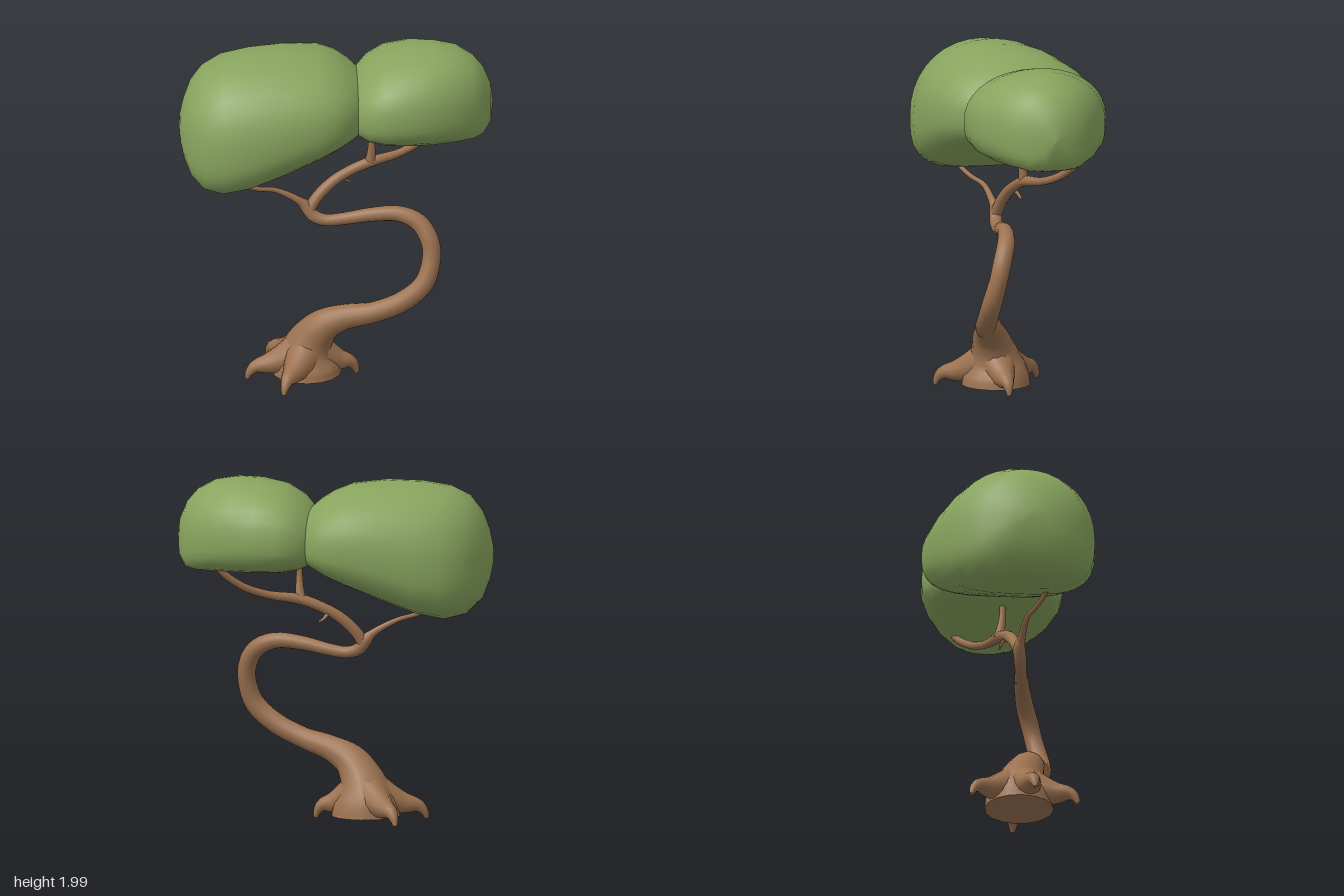
import * as THREE from 'three';

const bark = new THREE.MeshStandardMaterial({ color: 0x9c7250 });
bark.name = 'bark brown';
const leaf = new THREE.MeshStandardMaterial({ color: 0x88a45e });
leaf.name = 'leaf green';

// Skin a list of rings (each an array of n Vector3) into a smooth surface.
function skin(rings) {
  const n = rings[0].length, index = [];
  for (let i = 0; i < rings.length - 1; i++) {
    for (let j = 0; j < n; j++) {
      const k = (j + 1) % n;
      const a = i * n + j, b = i * n + k, c = a + n, d = b + n;
      index.push(a, b, c, b, d, c);
    }
  }
  const geo = new THREE.BufferGeometry().setFromPoints(rings.flat());
  geo.setIndex(index);
  geo.computeVertexNormals();
  return geo;
}

// Tapering limb through stations [x, y, z, radius], closed at both ends.
function limb(name, stations, steps, sides) {
  const curve = new THREE.CatmullRomCurve3(stations.map(s => new THREE.Vector3(s[0], s[1], s[2])));
  const frames = curve.computeFrenetFrames(steps, false);
  const rings = [];
  for (let i = 0; i <= steps; i++) {
    const t = curve.getUtoTmapping(i / steps, null);
    const f = t * (stations.length - 1);
    const k = Math.min(Math.floor(f), stations.length - 2);
    const r = THREE.MathUtils.lerp(stations[k][3], stations[k + 1][3], f - k);
    const p = curve.getPoint(t);
    rings.push(Array.from({ length: sides }, (_, j) => {
      const a = j / sides * Math.PI * 2;
      return p.clone()
        .addScaledVector(frames.normals[i], r * Math.cos(a))
        .addScaledVector(frames.binormals[i], r * Math.sin(a));
    }));
  }
  const cap = s => Array.from({ length: sides }, () => new THREE.Vector3(s[0], s[1], s[2]));
  const copy = ring => ring.map(v => v.clone());
  const last = rings[rings.length - 1];
  const geo = skin([cap(stations[0]), copy(rings[0]), ...rings, copy(last), cap(stations[stations.length - 1])]);
  const mesh = new THREE.Mesh(geo, bark);
  mesh.name = name;
  return mesh;
}

// Leaf mass from stations [x, bottom, top, back, front]: round above, boxier below.
function crown(name, stations) {
  const sides = 36;
  const rings = stations.map(([x, yb, yt, zb, zf]) => {
    const ym = yb + (yt - yb) * 0.43, zm = (zb + zf) / 2, w = (zf - zb) / 2;
    return Array.from({ length: sides }, (_, j) => {
      const a = j / sides * Math.PI * 2, c = Math.cos(a), s = Math.sin(a);
      const e = c >= 0 ? 2.1 : 3.3;
      const m = Math.pow(Math.pow(Math.abs(c), e) + Math.pow(Math.abs(s), e), -1 / e);
      return new THREE.Vector3(x, ym + c * m * (c >= 0 ? yt - ym : ym - yb), zm + s * m * w);
    });
  });
  const mesh = new THREE.Mesh(skin(rings), leaf);
  mesh.name = name;
  return mesh;
}

export function createModel() {
  const tree = new THREE.Group();
  tree.name = 'tree';

  // S-shaped trunk with a flared foot
  tree.add(limb('trunk', [
    [-0.17, 0.03, 0.07, 0.2], [-0.17, 0.1, 0.07, 0.19], [-0.16, 0.18, 0.08, 0.15],
    [-0.13, 0.26, 0.1, 0.12], [-0.07, 0.34, 0.13, 0.097], [0.04, 0.4, 0.165, 0.075],
    [0.21, 0.45, 0.22, 0.061], [0.38, 0.53, 0.25, 0.06], [0.5, 0.64, 0.255, 0.058],
    [0.543, 0.79, 0.225, 0.053], [0.53, 0.89, 0.2, 0.054], [0.47, 0.98, 0.165, 0.052],
    [0.36, 1.025, 0.14, 0.046], [0.2, 1.015, 0.12, 0.041], [0.05, 0.985, 0.1, 0.036],
    [-0.06, 0.972, 0.09, 0.034], [-0.13, 0.995, 0.08, 0.037], [-0.18, 1.06, 0.07, 0.036],
    [-0.21, 1.09, 0.08, 0.02],
  ], 72, 16));

  // Four claw-like roots
  const roots = new THREE.Group();
  roots.name = 'roots';
  const foot = [-0.16, 0.08];
  [['leftRoot', 0.115, 0.06], ['rightRoot', -0.51, 0.13], ['frontRoot', -0.31, 0.39], ['backRoot', -0.38, -0.22]]
    .forEach(([name, x, z]) => {
      const at = (t, y, r) => [THREE.MathUtils.lerp(foot[0], x, t), y, THREE.MathUtils.lerp(foot[1], z, t), r];
      roots.add(limb(name, [
        at(0.1, 0.17, 0.12), at(0.4, 0.125, 0.09), at(0.65, 0.1, 0.062),
        at(0.88, 0.085, 0.038), at(0.98, 0.05, 0.024), at(1.02, 0.013, 0.012),
      ], 14, 12));
    });
  tree.add(roots);

  // Branches
  const branches = new THREE.Group();
  branches.name = 'branches';
  branches.add(limb('rightBranch', [
    [-0.17, 1.05, 0.07, 0.034], [-0.22, 1.095, 0.08, 0.022], [-0.35, 1.165, 0.1, 0.015],
    [-0.46, 1.195, 0.15, 0.014], [-0.55, 1.24, 0.19, 0.014], [-0.6, 1.3, 0.2, 0.012],
  ], 20, 10));
  branches.add(limb('leftBranch', [
    [-0.16, 1.02, 0.075, 0.035], [-0.12, 1.09, 0.06, 0.034], [-0.03, 1.18, 0.035, 0.033],
    [0.08, 1.245, 0.01, 0.031], [0.2, 1.29, -0.01, 0.032], [0.37, 1.32, -0.07, 0.024],
    [0.5, 1.37, -0.14, 0.023], [0.61, 1.455, -0.21, 0.021], [0.66, 1.52, -0.24, 0.019],
  ], 32, 12));
  branches.add(limb('upperBranch', [
    [0.195, 1.28, -0.01, 0.034], [0.203, 1.34, 0, 0.026], [0.206, 1.42, 0.01, 0.019], [0.206, 1.53, 0.012, 0.019],
  ], 12, 10));
  branches.add(limb('twig', [
    [0.01, 1.21, 0.02, 0.016], [0.05, 1.195, 0, 0.012], [0.06, 1.18, -0.01, 0.01], [0.09, 1.16, -0.02, 0.005],
  ], 8, 8));
  tree.add(branches);

  // Two leaf masses meeting at a shared seam
  const seam = [0.122, 1.51, 1.84, -0.345, 0.26];
  tree.add(crown('largeCrown', [
    [-0.905, 1.57, 1.57, 0.08, 0.08], [-0.9, 1.49, 1.63, -0.02, 0.17], [-0.88, 1.4, 1.72, -0.1, 0.24],
    [-0.84, 1.3, 1.82, -0.2, 0.32], [-0.77, 1.23, 1.905, -0.3, 0.41], [-0.66, 1.205, 1.96, -0.38, 0.46],
    [-0.5, 1.24, 1.985, -0.43, 0.477], [-0.3, 1.32, 1.992, -0.465, 0.465], [-0.1, 1.405, 1.97, -0.487, 0.43],
    [0, 1.45, 1.93, -0.465, 0.385], [0.07, 1.485, 1.885, -0.41, 0.33], seam,
  ]));
  tree.add(crown('smallCrown', [
    seam, [0.18, 1.485, 1.905, -0.41, 0.325], [0.28, 1.47, 1.965, -0.45, 0.367],
    [0.42, 1.465, 1.995, -0.44, 0.372], [0.56, 1.463, 2, -0.4, 0.342], [0.69, 1.463, 1.98, -0.34, 0.28],
    [0.79, 1.465, 1.925, -0.265, 0.21], [0.85, 1.48, 1.855, -0.2, 0.13], [0.89, 1.54, 1.76, -0.11, 0.05],
    [0.905, 1.66, 1.66, -0.03, -0.03],
  ]));
  return tree;
}
